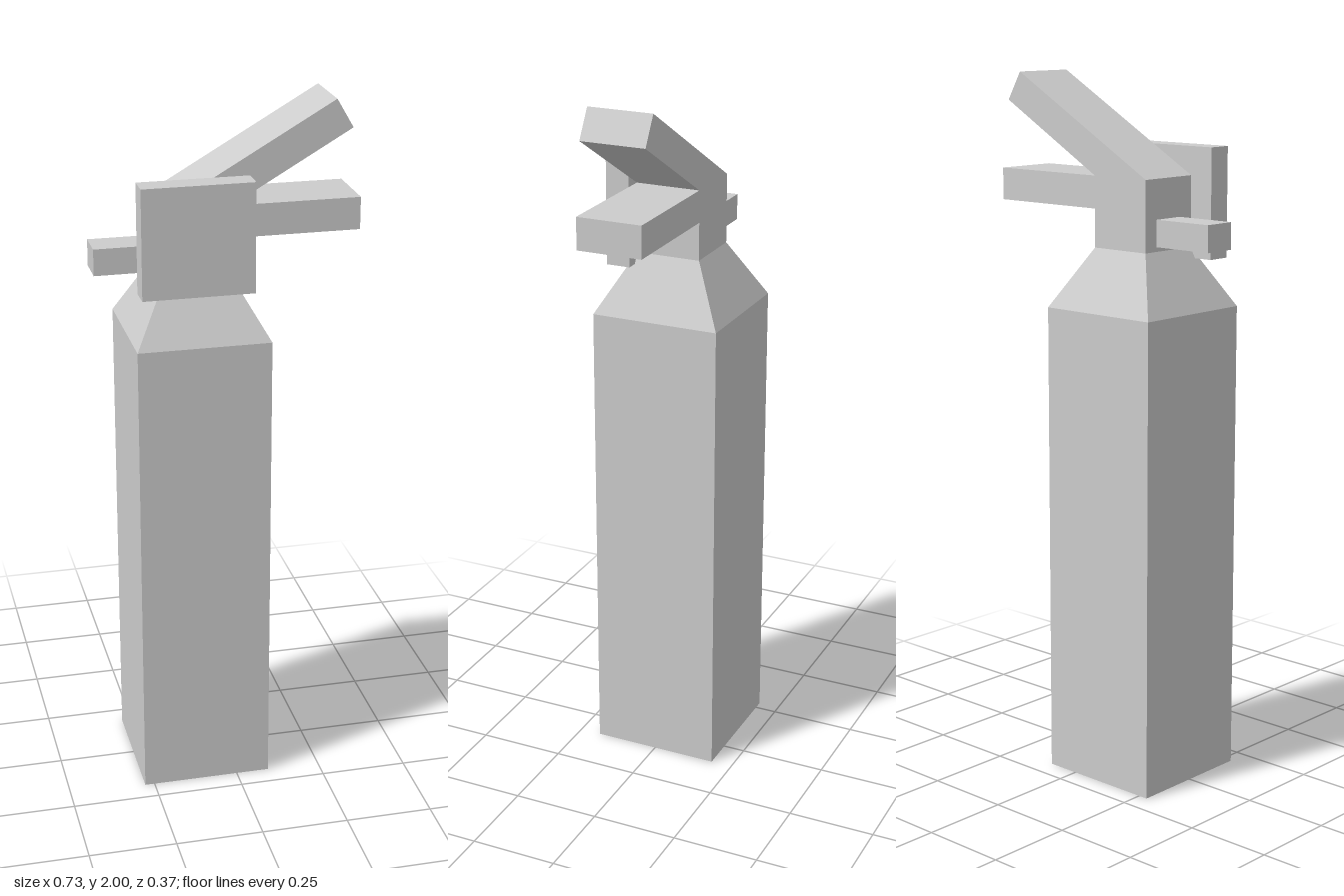
import * as THREE from 'three';

const CX = -0.091; // axis of the bottle

export function createModel() {
  const model = new THREE.Group();
  model.name = 'fireExtinguisher';
  const material = new THREE.MeshStandardMaterial({ color: 0xcccccc, flatShading: true });

  const add = (name, geometry) => {
    const mesh = new THREE.Mesh(geometry, material);
    mesh.name = name;
    model.add(mesh);
    return mesh;
  };
  // Box given by its lower and upper corner
  const box = (name, [x0, y0, z0], [x1, y1, z1]) =>
    add(name, new THREE.BoxGeometry(x1 - x0, y1 - y0, z1 - z0))
      .position.set((x0 + x1) / 2, (y0 + y1) / 2, (z0 + z1) / 2);

  // Square bottle with sloping shoulders, capped at the bottom only
  const half = 0.187, neckHalf = 0.094;
  const profile = [[0, 0], [half, 0], [half, 1.36], [neckHalf, 1.527]]
    .map(([r, y]) => new THREE.Vector2(r * Math.SQRT2, y));
  const bottle = new THREE.LatheGeometry(profile, 4, Math.PI / 4).toNonIndexed();
  bottle.computeVertexNormals();
  add('bottle', bottle).position.x = CX;

  // Neck bending into the raised squeeze lever
  const lever = new THREE.Shape([
    [-0.185, 1.527], [0.003, 1.527], [0.003, 1.726],
    [0.339, 1.92], [0.292, 2.0], [-0.185, 1.726],
  ].map(([x, y]) => new THREE.Vector2(x, y)));
  add('neckAndLever', new THREE.ExtrudeGeometry(lever, { depth: 2 * neckHalf, bevelEnabled: false }))
    .position.z = -neckHalf;

  // Fixed carrying handle, outlet and gauge plate
  box('carryHandle', [0.003, 1.635, -neckHalf], [0.365, 1.726, neckHalf]);
  box('nozzle', [-0.368, 1.54, -0.049], [-0.185, 1.615, 0.047]);
  box('gaugePlate', [-0.258, 1.497, 0.094], [0.054, 1.806, 0.163]);

  return model;
}
